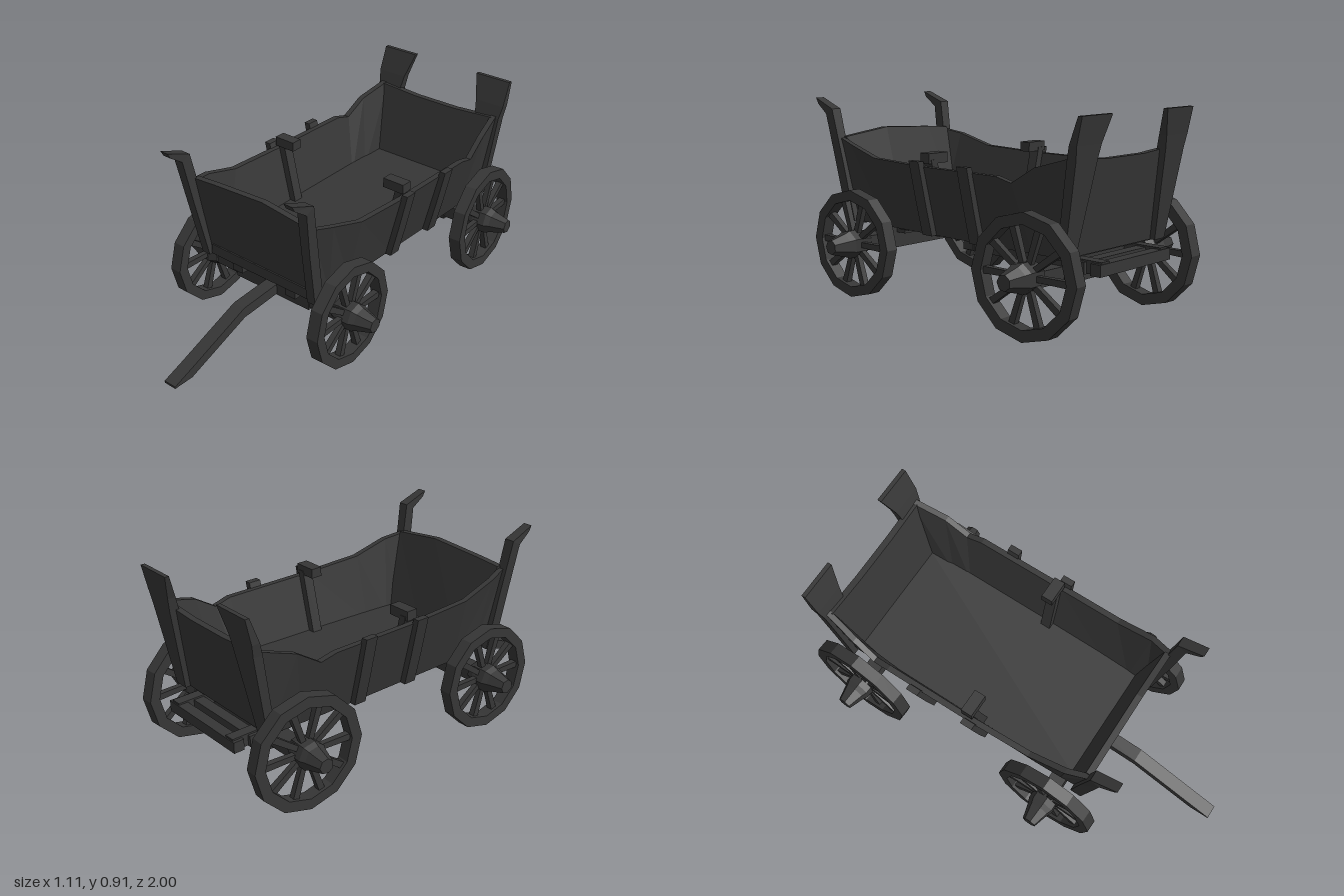
import * as THREE from 'three';

const wood = new THREE.MeshStandardMaterial({ color: 0x363636, flatShading: true });
wood.name = 'dark wood';

// Solid through equal-sized rings of [x, y, z] points, capped and wound outwards
function loft(name, rings) {
  const n = rings[0].length, tris = [];
  const quad = (a, b, c, d) => tris.push([a, b, c], [a, c, d]);
  for (let i = 0; i < rings.length - 1; i++)
    for (let j = 0; j < n; j++) {
      const k = (j + 1) % n;
      quad(rings[i][j], rings[i][k], rings[i + 1][k], rings[i + 1][j]);
    }
  const first = rings[0], last = rings[rings.length - 1];
  for (let j = 1; j < n - 1; j++) {
    tris.push([first[0], first[j + 1], first[j]], [last[0], last[j], last[j + 1]]);
  }
  const o = new THREE.Vector3(...first[0]);
  const V = p => new THREE.Vector3(...p).sub(o);
  const volume = tris.reduce((s, [a, b, c]) => s + V(a).dot(V(b).cross(V(c))), 0);
  if (volume < 0) tris.forEach(t => t.reverse());
  const g = new THREE.BufferGeometry();
  g.setAttribute('position', new THREE.Float32BufferAttribute(tris.flat(2), 3));
  g.computeVertexNormals();
  const m = new THREE.Mesh(g, wood);
  m.name = name;
  return m;
}

// Post or pole: stations of [xInner, xOuter, yBack, zBack, yFront, zFront]
function post(name, side, stations) {
  return loft(name, stations.map(([a, b, y0, z0, y1, z1]) => [
    [side * a, y0, z0], [side * b, y0, z0], [side * b, y1, z1], [side * a, y1, z1]]));
}

function box(name, w, h, d, x, y, z) {
  const m = new THREE.Mesh(new THREE.BoxGeometry(w, h, d), wood);
  m.name = name;
  m.position.set(x, y, z);
  return m;
}

// Wheel with its axle along x, hub pointing to +x
function wheel(name, r, spokes) {
  const w = new THREE.Group();
  w.name = name;
  const ring = (radius, n) => Array.from({ length: n }, (_, i) => {
    const a = i / n * Math.PI * 2;
    return new THREE.Vector2(Math.cos(a) * radius, Math.sin(a) * radius);
  });
  const shape = new THREE.Shape(ring(r, 12));
  shape.holes.push(new THREE.Path(ring(r * 0.81, 12)));
  const rimGeo = new THREE.ExtrudeGeometry(shape, { depth: 0.06, bevelEnabled: false });
  rimGeo.translate(0, 0, -0.03).rotateY(Math.PI / 2);
  const rim = new THREE.Mesh(rimGeo, wood);
  rim.name = 'rim';
  w.add(rim);
  for (let i = 0; i < spokes; i++) {
    const g = new THREE.CylinderGeometry(0.021, 0.017, r * 0.72, 4, 1).rotateY(Math.PI / 4);
    g.translate(0, r * 0.46, 0).rotateX((i + 0.5) / spokes * Math.PI * 2);
    const spoke = new THREE.Mesh(g, wood);
    spoke.name = 'spoke';
    w.add(spoke);
  }
  const profile = [[0, -0.06], [0.05, -0.06], [0.066, -0.02], [0.066, 0.045], [0.055, 0.07], [0.034, 0.145], [0, 0.145]];
  const hubGeo = new THREE.LatheGeometry(profile.map(p => new THREE.Vector2(...p)), 7);
  const hub = new THREE.Mesh(hubGeo.rotateZ(-Math.PI / 2), wood);
  hub.name = 'hub';
  w.add(hub);
  return w;
}

export function createModel() {
  const model = new THREE.Group();
  model.name = 'wagon';

  // Bed floor, slightly lower at the front, and the slats under it
  const floor = box('floor', 0.6, 0.035, 1.25, 0, 0.372, -0.205);
  floor.rotation.x = 0.022;
  model.add(floor);
  for (const z of [0.4, 0.1, -0.1, -0.39, -0.8]) model.add(box('floorSlat', 0.6, 0.03, 0.06, 0, 0.347, z));

  // Side walls: stations of [zBottom, zTop, yTop, xBottom, xTop]
  const wall = [
    [0.43, 0.485, 0.73, 0.28, 0.32], [0.33, 0.38, 0.71, 0.285, 0.35], [0.2, 0.2, 0.66, 0.288, 0.36],
    [-0.1, -0.1, 0.65, 0.288, 0.365], [-0.53, -0.55, 0.65, 0.288, 0.365], [-0.58, -0.63, 0.63, 0.288, 0.36],
    [-0.68, -0.74, 0.7, 0.285, 0.35], [-0.84, -0.905, 0.75, 0.28, 0.32]];
  const yb = 0.34, t = 0.028;
  for (const s of [1, -1]) {
    model.add(loft('sideWall', wall.map(([zb, zt, yt, xb, xt]) => [
      [s * xb, yb, zb], [s * xt, yt, zt], [s * (xt + t), yt, zt], [s * (xb + t), yb, zb]])));

    // Corner posts: bent at the front, flared boards at the back
    model.add(post('frontPost', s, [
      [0.295, 0.34, 0.34, 0.4, 0.34, 0.455], [0.315, 0.36, 0.62, 0.455, 0.62, 0.51],
      [0.33, 0.38, 0.865, 0.505, 0.84, 0.55], [0.33, 0.375, 0.912, 0.63, 0.885, 0.615]]));
    model.add(post('rearPost', s, [
      [0.27, 0.34, 0.34, -0.87, 0.34, -0.83], [0.23, 0.365, 0.74, -0.94, 0.74, -0.895],
      [0.22, 0.375, 0.8, -0.95, 0.8, -0.912], [0.185, 0.375, 0.915, -0.975, 0.915, -0.955]]));

    // Stakes leaning outside the walls
    for (const z of [-0.1, -0.39]) {
      const a = z - 0.03, b = z + 0.03;
      model.add(post('sideStake', s, [
        [0.31, 0.345, 0.34, a, 0.34, b], [0.345, 0.385, 0.5, a, 0.5, b], [0.395, 0.425, 0.675, a, 0.675, b]]));
    }
    // Inner brace hooked over the wall top
    model.add(post('innerBrace', s, [
      [0.265, 0.3, 0.38, -0.155, 0.38, -0.105], [0.335, 0.37, 0.68, -0.155, 0.68, -0.105]]));
    model.add(box('braceCap', 0.11, 0.045, 0.055, s * 0.325, 0.685, -0.125));

    // Undercarriage rails
    model.add(box('rearRail', 0.05, 0.055, 0.76, s * 0.2, 0.305, -0.585));
    model.add(box('frontRail', 0.06, 0.05, 0.2, s * 0.16, 0.31, 0.315));

    // Wheels
    const front = wheel('frontWheel', 0.25, 10);
    front.position.set(s * 0.41, 0.257, 0.315);
    const rear = wheel('rearWheel', 0.263, 10);
    rear.position.set(s * 0.41, 0.27, -0.737);
    for (const w of [front, rear]) {
      if (s < 0) w.rotation.y = Math.PI;
      model.add(w);
    }
    rear.rotation.y += s * 0.06;
    front.rotation.y += s * 0.02;
  }

  // End panels, leaning outwards and thicker at the foot; columns of [x, yTop]
  const panel = (name, cols, zIn, zOut, ztIn, ztOut) => loft(name, cols.map(([x, y]) => [
    [x * 0.9, yb, zIn], [x, y, ztIn], [x, y, ztOut], [x * 0.9, yb, zOut]]));
  model.add(panel('frontPanel', [[-0.33, 0.74], [-0.2, 0.75], [0.08, 0.765], [0.33, 0.735]], 0.355, 0.43, 0.46, 0.49));
  model.add(panel('rearPanel', [[-0.33, 0.745], [-0.12, 0.73], [0.12, 0.73], [0.33, 0.745]], -0.79, -0.845, -0.88, -0.91));
  model.add(box('frontSill', 0.58, 0.05, 0.03, 0, 0.37, 0.43));

  // Axles, bolsters and cross beams
  for (const z of [0.315, -0.735]) {
    model.add(box('axle', 0.74, 0.065, 0.075, 0, 0.255, z));
    model.add(box('axleBed', 0.44, 0.07, 0.09, 0, 0.247, z));
    model.add(box('bolster', 0.44, 0.06, 0.09, 0, 0.305, z));
  }
  for (const z of [-0.945, -0.865]) model.add(box('rearCrossBeam', 0.48, 0.05, 0.05, 0, 0.3, z));
  model.add(box('midCrossBeam', 0.46, 0.05, 0.06, 0, 0.305, -0.24));

  // Tongue, bent down to the ground
  const l = -0.035, r = 0.03;
  model.add(post('tongue', 1, [
    [l, r, 0.225, 0.27, 0.275, 0.27], [l, r, 0.2, 0.57, 0.25, 0.57],
    [l, r, 0.068, 0.9, 0.115, 0.9], [l, r, 0.066, 1, 0.076, 1]]));

  return model;
}
